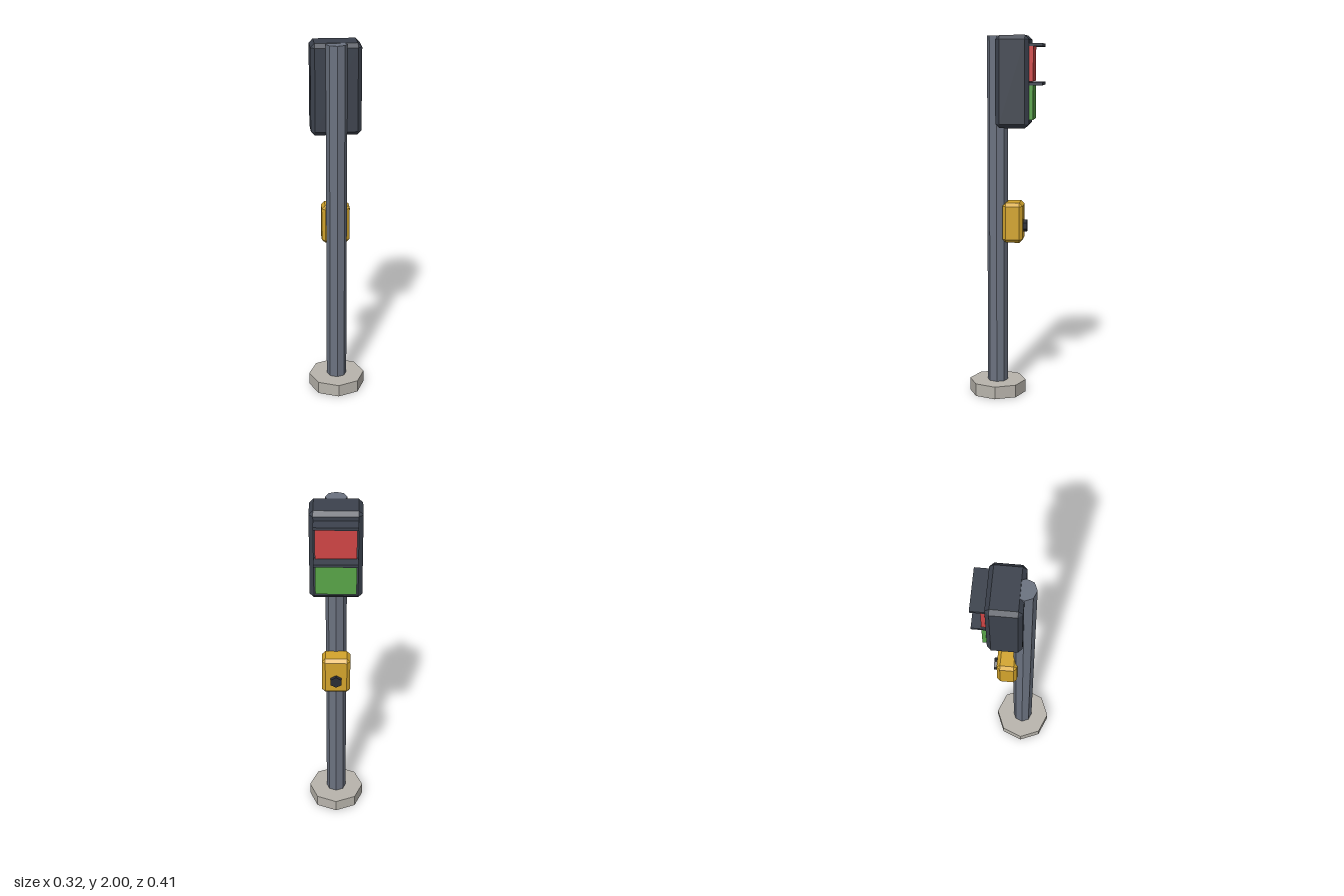
import * as THREE from 'three';
import { ConvexGeometry } from 'three/addons/geometries/ConvexGeometry.js';

const material = (name, color) => {
  const m = new THREE.MeshStandardMaterial({ color, flatShading: true });
  m.name = name;
  return m;
};

// Box with every edge chamfered by c
function chamferBox(w, h, d, c) {
  const half = [w / 2, h / 2, d / 2];
  const points = [];
  for (const sx of [-1, 1]) for (const sy of [-1, 1]) for (const sz of [-1, 1]) {
    for (let axis = 0; axis < 3; axis++) {
      const p = half.map((v, i) => (i === axis ? v : v - c));
      points.push(new THREE.Vector3(p[0] * sx, p[1] * sy, p[2] * sz));
    }
  }
  return new ConvexGeometry(points);
}

export function createModel() {
  const group = new THREE.Group();
  group.name = 'pedestrianSignal';

  const concrete = material('concrete', 0xb8b4ac);
  const steel = material('steel', 0x6b7280);
  const housing = material('darkHousing', 0x3c424d);
  const yellow = material('yellow', 0xd4a52c);
  const black = material('black', 0x2a2d35);
  const red = material('red', 0xd04545);
  const green = material('green', 0x58a548);

  const add = (name, geometry, mat, x, y, z) => {
    const mesh = new THREE.Mesh(geometry, mat);
    mesh.name = name;
    mesh.position.set(x, y, z);
    group.add(mesh);
    return mesh;
  };

  // Octagonal foot and pole
  const poleZ = 0.047;
  add('base', new THREE.CylinderGeometry(0.159, 0.159, 0.07, 8), concrete, 0, 0.035, poleZ);
  add('pole', new THREE.CylinderGeometry(0.057, 0.057, 1.939, 8), steel, 0, 1.0295, poleZ);

  // Signal head facing the back
  add('signalHead', chamferBox(0.272, 0.495, 0.181, 0.022), housing, 0, 1.7525, -0.0435);

  // Two lamps, each under a flat visor
  [['red', red, 1.948], ['green', green, 1.742]].forEach(([name, mat, top]) => {
    add(name + 'Lamp', new THREE.BoxGeometry(0.212, 0.193, 0.035), mat, 0, top - 0.0965, -0.1385);
    add(name + 'Visor', new THREE.BoxGeometry(0.227, 0.016, 0.087), housing, 0, top, -0.1635);
  });

  // Push-button box
  add('buttonBox', chamferBox(0.156, 0.222, 0.113, 0.019), yellow, 0, 0.981, -0.0415);
  const button = add('button', new THREE.CylinderGeometry(0.034, 0.034, 0.03, 6), black, 0, 0.959, -0.103);
  button.rotation.x = -Math.PI / 2;

  return group;
}
